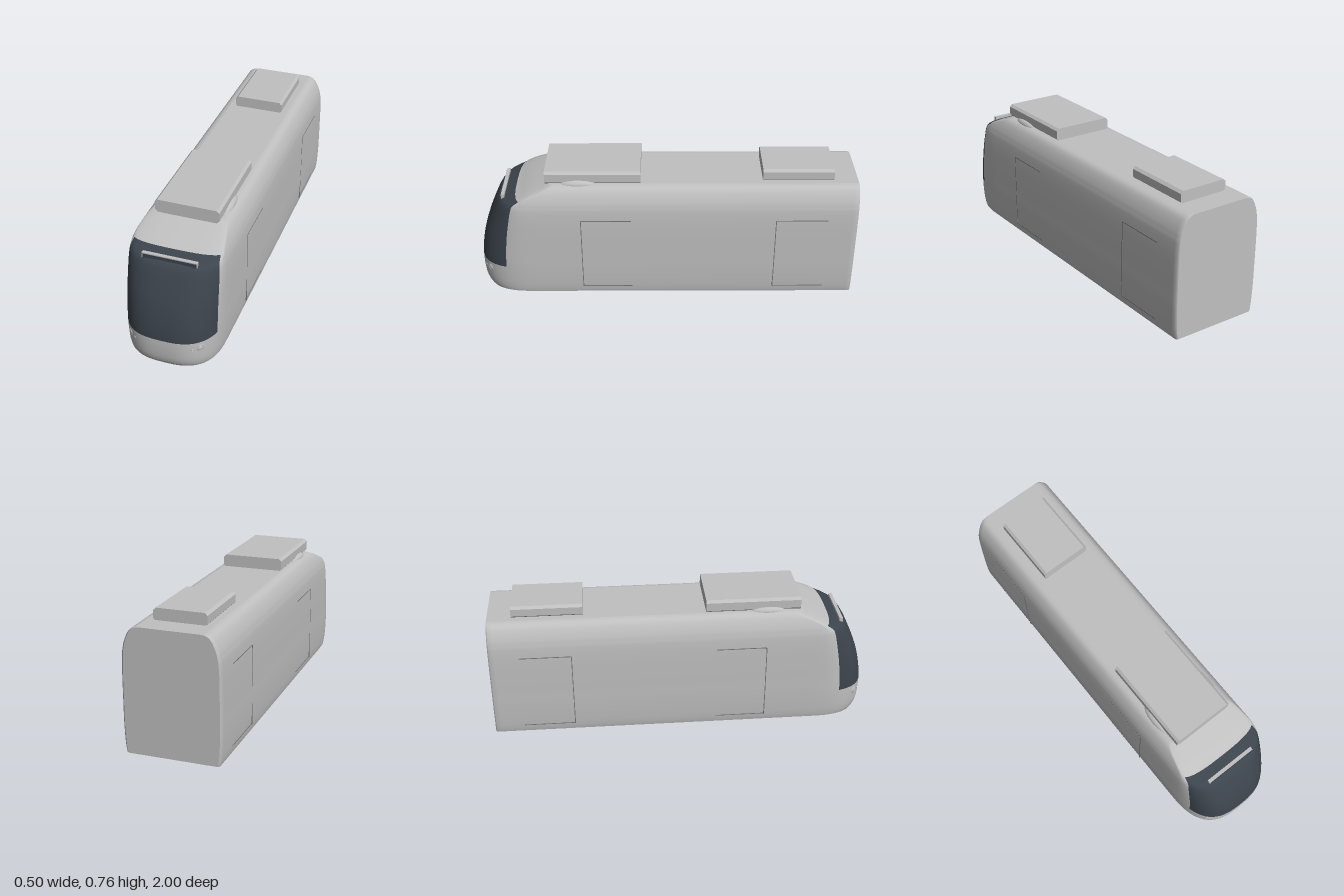
import * as THREE from 'three';

const paint = new THREE.MeshStandardMaterial({ color: 0xc0c0c0 });
paint.name = 'light grey paint';
const glassMat = new THREE.MeshStandardMaterial({ color: 0x3c444d, side: THREE.DoubleSide });
glassMat.name = 'dark glass';
const seamMat = new THREE.MeshStandardMaterial({ color: 0x777777 });
seamMat.name = 'seam grey';

const POWER = 2.8; // bluntness of the nose in plan
const SUB = 3; // subdivisions between profile rows
// Body profile from sill to roof: half width, height, nose position
const PROFILE = [
  [0.235, 0.06, 0.975], [0.239, 0.08, 0.987], [0.243, 0.12, 0.997], [0.247, 0.22, 1.0],
  [0.247, 0.3, 0.99], [0.247, 0.4, 0.965], [0.246, 0.5, 0.925], [0.242, 0.57, 0.89],
  [0.238, 0.592, 0.868], [0.232, 0.617, 0.79], [0.219, 0.65, 0.72], [0.2, 0.68, 0.645],
  [0.183, 0.691, 0.62], [0.165, 0.695, 0.61],
];
const GLASS_FROM = 3 * SUB, GLASS_TO = 9 * SUB; // windscreen rows
const NOSE_STEPS = 16, GLASS_STEPS = 12; // steps per half of the nose

const noseDepth = (zf) => Math.max(0.04, 1.15 * zf - 0.85);

// Plan outline of one level, from the left rear round the nose to the right rear
function outline(w, zf) {
  const d = noseDepth(zf);
  const side = [[w - 0.008, -1], [w, -0.992], [w, -0.97], [w, 0], [w, zf - d - 0.04]];
  const nose = [];
  for (let i = -NOSE_STEPS; i <= NOSE_STEPS; i++) {
    const a = (-i / NOSE_STEPS) * Math.PI / 2;
    const s = Math.sin(a), c = Math.max(0, Math.cos(a));
    nose.push([w * Math.sign(s) * Math.abs(s) ** (2 / POWER), zf - d + d * c ** (2 / POWER)]);
  }
  return [...side, ...nose, ...side.map(([x, z]) => [-x, z]).reverse()];
}

// Depth of the nose surface at a given x, for the lower front
const noseZ = (x) => 0.7 + 0.299 * (1 - (x / 0.246) ** POWER) ** (1 / POWER);

function addMesh(parent, name, geometry, material, x = 0, y = 0, z = 0) {
  const mesh = new THREE.Mesh(geometry, material);
  mesh.name = name;
  mesh.position.set(x, y, z);
  parent.add(mesh);
  return mesh;
}

const shapeOf = (pts) => new THREE.Shape(pts.map(([x, y]) => new THREE.Vector2(x, y)));

function buildBody(parent) {
  const curve = new THREE.CatmullRomCurve3(PROFILE.map((p) => new THREE.Vector3(...p)));
  const levels = curve.getPoints((PROFILE.length - 1) * SUB);
  const rings = levels.map((l) => outline(l.x, l.z));
  const cols = rings[0].length, mid = (cols - 1) / 2;
  const positions = rings.flatMap((ring, r) => ring.flatMap(([x, z]) => [x, levels[r].y, z]));
  const shellIndex = [], glassIndex = [];
  for (let r = 0; r < rings.length - 1; r++) {
    for (let c = 0; c < cols - 1; c++) {
      const a = r * cols + c, up = a + cols;
      const isGlass = r >= GLASS_FROM && r < GLASS_TO && Math.abs(c + 0.5 - mid) < GLASS_STEPS;
      (isGlass ? glassIndex : shellIndex).push(a, up, a + 1, a + 1, up, up + 1);
    }
  }
  // Shell and windscreen share points and normals so they meet smoothly
  const whole = new THREE.BufferGeometry();
  whole.setAttribute('position', new THREE.Float32BufferAttribute(positions, 3));
  whole.setIndex([...shellIndex, ...glassIndex]);
  whole.computeVertexNormals();
  const part = (index) => whole.clone().setIndex(index);
  addMesh(parent, 'bodyShell', part(shellIndex), paint);
  addMesh(parent, 'windscreen', part(glassIndex), glassMat);

  // Flat floor, roof and rear wall
  const floor = new THREE.ShapeGeometry(shapeOf(rings[0])).rotateX(Math.PI / 2);
  addMesh(parent, 'floor', floor, paint, 0, 0.06, 0);
  const top = rings[rings.length - 1].map(([x, z]) => [x, -z]);
  addMesh(parent, 'roof', new THREE.ShapeGeometry(shapeOf(top)).rotateX(-Math.PI / 2), paint, 0, 0.695, 0);
  const half = levels.map((l) => [l.x - 0.008, l.y]);
  const rear = [...half, ...half.map(([x, y]) => [-x, y]).reverse()];
  addMesh(parent, 'rearWall', new THREE.ShapeGeometry(shapeOf(rear)).rotateY(Math.PI), paint, 0, 0, -1);
}

// Roof box with chamfered long edges
function roofBox(parent, name, w, y0, y1, z0, z1) {
  const c = 0.013;
  const pts = [[w - c, y0], [w, y0 + c], [w, y1 - c], [w - c, y1]];
  const shape = shapeOf([...pts, ...pts.map(([x, y]) => [-x, y]).reverse()]);
  const geo = new THREE.ExtrudeGeometry(shape, { depth: z1 - z0, bevelEnabled: false });
  addMesh(parent, name, geo, paint, 0, 0, z0);
}

// Seam lines of a door: front upright, top and bottom
function doorSeams(parent, side, zFront, zBack) {
  const door = new THREE.Group();
  door.name = side > 0 ? 'leftDoorSeams' : 'rightDoorSeams';
  const t = 0.004, zMid = (zFront + zBack) / 2, len = zFront - zBack;
  addMesh(door, 'uprightSeam', new THREE.BoxGeometry(0.008, 0.415, t), seamMat, side * 0.2437, 0.3075, zFront);
  addMesh(door, 'topSeam', new THREE.BoxGeometry(0.006, t, len), seamMat, side * 0.2435, 0.515, zMid);
  addMesh(door, 'bottomSeam', new THREE.BoxGeometry(0.006, t, len), seamMat, side * 0.2395, 0.1, zMid);
  parent.add(door);
}

// Lamp: low dome inside a ring, set on the nose
function lamp(parent, name, x, y, rx, ry) {
  const g = new THREE.Group();
  g.name = name;
  const ax = Math.abs(x), slope = (noseZ(ax - 0.01) - noseZ(ax + 0.01)) / 0.02;
  g.position.set(x, y, noseZ(ax));
  g.rotation.y = Math.sign(x) * Math.atan(slope);
  g.scale.set(rx / Math.cos(g.rotation.y), ry, 0.006);
  addMesh(g, 'lampRing', new THREE.TorusGeometry(0.88, 0.12, 8, 24), paint).scale.z = 4;
  addMesh(g, 'lampLens', new THREE.SphereGeometry(0.8, 20, 12), paint);
  parent.add(g);
}

export function createModel() {
  const model = new THREE.Group();
  model.name = 'tram';
  buildBody(model);

  roofBox(model, 'frontRoofBox', 0.165, 0.69, 0.76, 0.13, 0.625);
  roofBox(model, 'rearRoofBox', 0.135, 0.69, 0.755, -0.875, -0.505);

  // Destination display above the windscreen
  const display = new THREE.Group();
  display.name = 'destinationDisplay';
  addMesh(display, 'displayCase', new THREE.BoxGeometry(0.28, 0.032, 0.018), paint, 0, 0.599, 0.852);
  addMesh(display, 'displayPanel', new THREE.BoxGeometry(0.27, 0.027, 0.004), glassMat, 0, 0.5965, 0.861);
  model.add(display);

  // Bogie plate between the wheels
  addMesh(model, 'bogiePlate', new THREE.BoxGeometry(0.29, 0.008, 0.375), paint, 0, 0.058, -0.1975);

  for (const side of [1, -1]) {
    const label = side > 0 ? 'left' : 'right';
    doorSeams(model, side, 0.442, 0.18);
    doorSeams(model, side, -0.575, -0.845);
    lamp(model, label + 'Headlight', side * 0.181, 0.184, 0.014, 0.02);
    lamp(model, label + 'MarkerLight', side * 0.149, 0.18, 0.006, 0.007);

    // Fairing beside the front roof box
    const fairing = addMesh(model, label + 'RoofFairing', new THREE.SphereGeometry(1, 20, 14), paint, side * 0.16, 0.69, 0.455);
    fairing.scale.set(0.025, 0.024, 0.09);

    // Wheels: tapering tread with an inner flange
    for (const z of [-0.01, -0.385]) {
      const profile = [[0, -0.014], [0.056, -0.014], [0.062, -0.009], [0.056, -0.003], [0.05, 0.011], [0.04, 0.014], [0, 0.01]];
      const geo = new THREE.LatheGeometry(profile.map(([r, h]) => new THREE.Vector2(r, h)), 32);
      const wheel = addMesh(model, label + 'Wheel', geo, paint, side * 0.157, 0.062, z);
      wheel.rotation.z = -side * Math.PI / 2;
    }
  }
  return model;
}
